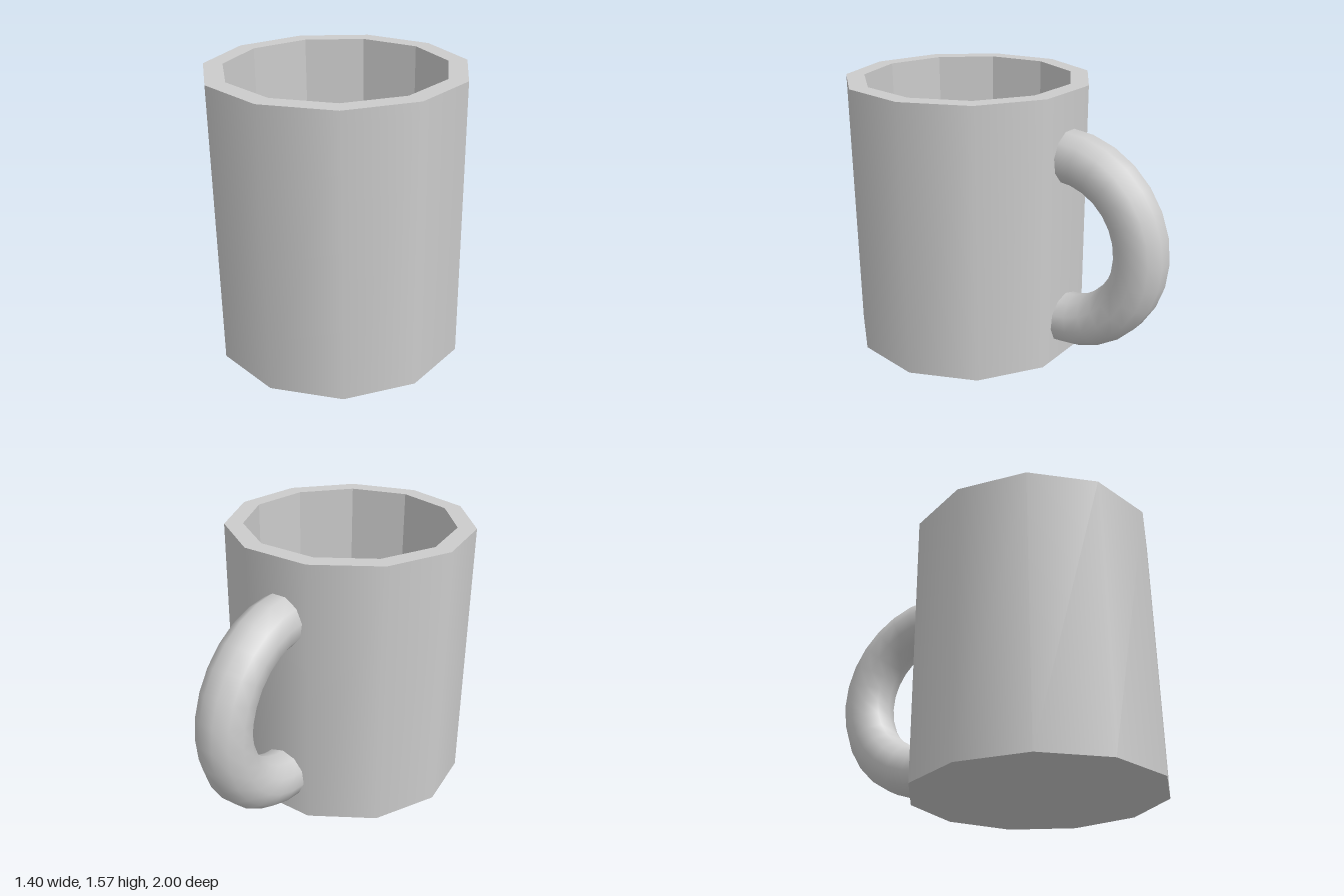
import * as THREE from 'three';

const SIDES = 11;
const HEIGHT = 1.57, OUTER = 0.707, INNER = 0.602, FLOOR = 0.1;
const BODY_Z = 0.293;

const smooth = new THREE.MeshStandardMaterial({ color: 0xcccccc });
const faceted = new THREE.MeshStandardMaterial({ color: 0xcccccc, flatShading: true });

function part(name, geometry, material, parent) {
  const mesh = new THREE.Mesh(geometry, material);
  mesh.name = name;
  parent.add(mesh);
  return mesh;
}

// Surface of revolution with the cup's side count, from [radius, height] pairs
function turned(profile) {
  return new THREE.LatheGeometry(profile.map(([r, y]) => new THREE.Vector2(r, y)), SIDES);
}

export function createModel() {
  const mug = new THREE.Group();
  mug.name = 'mug';

  // Cup: smooth outer wall, faceted interior with flat rim, and a flat base
  const cup = new THREE.Group();
  cup.name = 'cup';
  cup.position.z = BODY_Z;
  mug.add(cup);

  const wall = new THREE.CylinderGeometry(OUTER, OUTER, HEIGHT, SIDES, 1, true);
  part('outerWall', wall, smooth, cup).position.y = HEIGHT / 2;
  part('rimAndInterior', turned([[OUTER, HEIGHT], [INNER, HEIGHT], [INNER, FLOOR], [0, FLOOR]]), faceted, cup);
  part('base', turned([[0, 0], [OUTER, 0]]), faceted, cup);

  // Handle: half ring whose ends sink into the back wall, a flat facing outwards
  const ring = new THREE.TorusGeometry(0.4905, 0.1505, SIDES, 14, Math.PI);
  const p = ring.attributes.position, n = ring.attributes.normal;
  for (let j = 0; j <= SIDES; j++) {
    for (let i = 0; i <= 14; i++) {
      const tube = (j + 0.5) / SIDES * Math.PI * 2, arc = i / 14 * Math.PI;
      const k = j * 15 + i, c = Math.cos(tube), s = Math.sin(tube);
      const r = 0.4905 + 0.1505 * c;
      p.setXYZ(k, r * Math.cos(arc), r * Math.sin(arc), 0.1505 * s);
      n.setXYZ(k, c * Math.cos(arc), c * Math.sin(arc), s);
    }
  }
  ring.rotateZ(Math.PI / 2);
  ring.rotateY(-Math.PI / 2);
  part('handle', ring, smooth, mug).position.set(-0.022, 0.725, -0.365);

  return mug;
}
